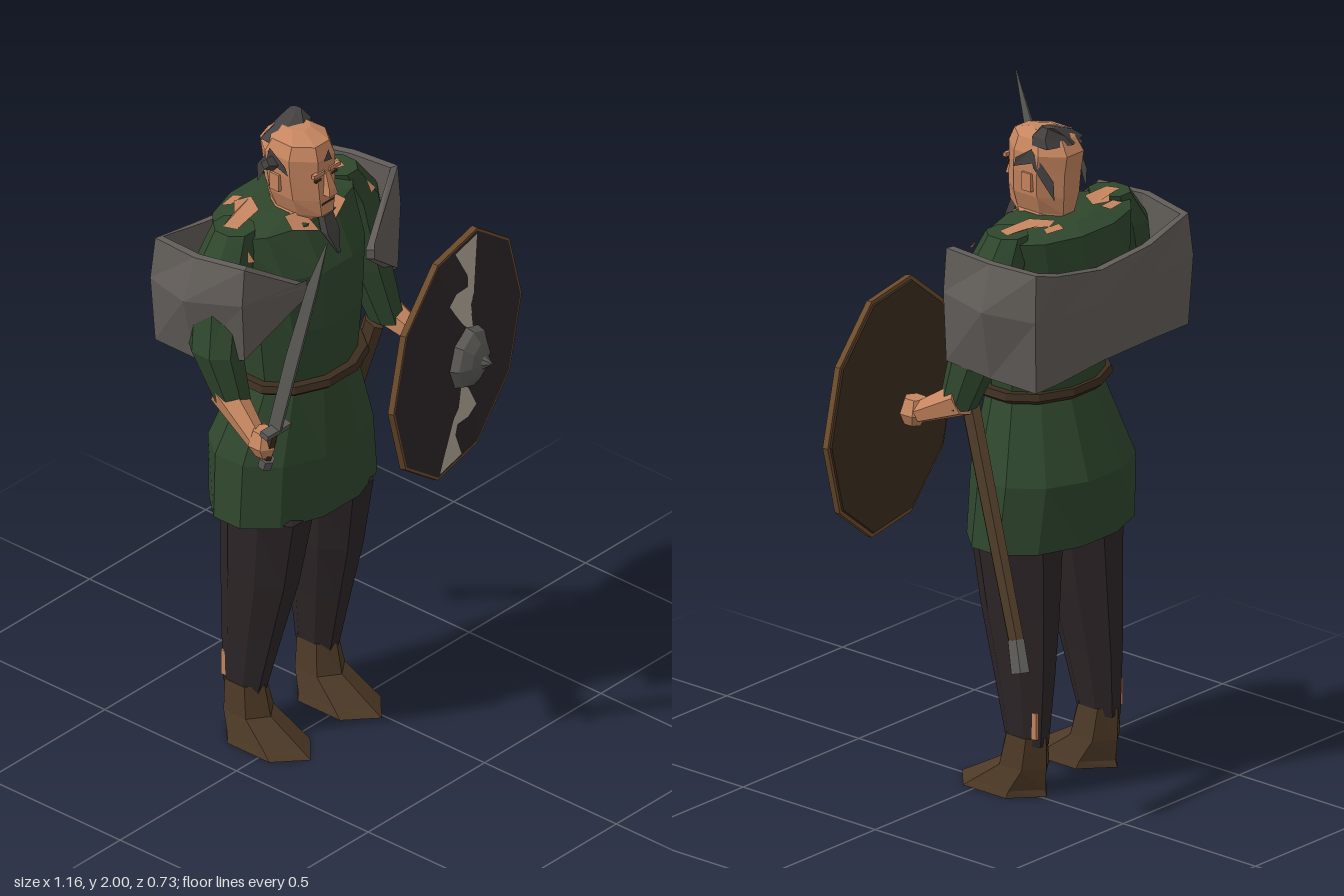
import * as THREE from 'three';

const mat = (name, color, side = THREE.FrontSide) => {
  const m = new THREE.MeshStandardMaterial({ color, flatShading: true, side });
  m.name = name;
  return m;
};
const V = (x, y, z) => new THREE.Vector3(x, y, z);

export function createModel() {
  const M = {
    skin: mat('skin', 0xc78660, THREE.DoubleSide),
    cloth: mat('green cloth', 0x2f472d),
    trousers: mat('dark trousers', 0x2d2527),
    boot: mat('boot leather', 0x4c3926),
    rim: mat('rim brown', 0x6d4c2c),
    wood: mat('dark wood', 0x3c2d1f),
    fur: mat('grey cape', 0x625d59),
    steel: mat('steel', 0x5c5b57),
    bone: mat('pale paint', 0xb3a998, THREE.DoubleSide),
    hair: mat('hair', 0x444140, THREE.DoubleSide),
  };
  const root = new THREE.Group();
  root.name = 'warrior';
  const CX = -0.165; // body midline

  const add = (name, geo, material, parent = root) => {
    const mesh = new THREE.Mesh(geo, material);
    mesh.name = name;
    parent.add(mesh);
    return mesh;
  };

  // Solid skinned over rings of points; turned outward by its signed volume
  const skinRings = (rings) => {
    const tris = [], n = rings[0].length, last = rings.length - 1;
    for (let i = 0; i < last; i++) {
      const a = rings[i], b = rings[i + 1];
      for (let j = 0; j < n; j++) {
        const k = (j + 1) % n;
        tris.push([a[j], b[j], b[k]], [a[j], b[k], a[k]]);
      }
    }
    for (let j = 1; j < n - 1; j++) {
      tris.push([rings[0][0], rings[0][j], rings[0][j + 1]]);
      tris.push([rings[last][0], rings[last][j + 1], rings[last][j]]);
    }
    let vol = 0;
    for (const [a, b, c] of tris) vol += a.dot(V(0, 0, 0).crossVectors(b, c));
    if (vol < 0) tris.forEach((t) => t.reverse());
    const g = new THREE.BufferGeometry().setFromPoints(tris.flat());
    g.computeVertexNormals();
    return g;
  };

  // Stack of level rings: [centre x, y, centre z, radius x, radius z]
  const loft = (sections, n) => skinRings(sections.map(([x, y, z, rx, rz]) =>
    Array.from({ length: n }, (_, j) => {
      const t = ((j + 0.5) / n) * Math.PI * 2, k = 1 / Math.cos(Math.PI / n);
      return V(x + rx * k * Math.cos(t), y, z + rz * k * Math.sin(t));
    })));

  // Thin fan of corner points
  const patch = (name, pts, material, parent) => {
    const p = pts.map((q) => V(...q)), out = [];
    for (let i = 1; i < p.length - 1; i++) out.push(p[0], p[i], p[i + 1]);
    const g = new THREE.BufferGeometry().setFromPoints(out);
    g.computeVertexNormals();
    return add(name, g, material, parent);
  };

  // Tapered rod between two points
  const rod = (name, a, b, r1, r2, n, material, flat = 1) => {
    const p = V(...a), q = V(...b), d = q.clone().sub(p);
    const g = new THREE.CylinderGeometry(r2, r1, d.length(), n).scale(flat, 1, 1);
    const m = add(name, g, material);
    m.position.copy(p).add(q).multiplyScalar(0.5);
    m.quaternion.setFromUnitVectors(V(0, 1, 0), d.normalize());
    return m;
  };

  // Tunic and belt
  add('tunic', loft([
    [-0.155, 0.77, -0.09, 0.285, 0.185], [-0.16, 0.97, -0.095, 0.265, 0.195],
    [CX, 1.2, -0.06, 0.185, 0.14], [CX, 1.4, -0.07, 0.205, 0.165],
    [CX, 1.58, -0.095, 0.235, 0.185], [CX, 1.71, -0.12, 0.255, 0.14],
    [CX, 1.73, -0.11, 0.1, 0.09],
  ], 12), M.cloth);
  add('belt', loft([
    [CX, 1.195, -0.055, 0.2, 0.152], [CX, 1.21, -0.055, 0.22, 0.168],
    [CX, 1.23, -0.055, 0.212, 0.162],
  ], 12), M.wood);

  // Limbs, mirrored about the midline; the left arm hangs closer to the body
  for (const s of [-1, 1]) {
    const x = (d) => CX + s * d;
    const side = s > 0 ? 'left' : 'right';
    const [elbow, elbowY] = s > 0 ? [0.295, 1.235] : [0.345, 1.265];
    add(side + 'Leg', loft([
      [x(0.155), 0.16, -0.128, 0.043, 0.066], [x(0.146), 0.36, -0.108, 0.062, 0.095],
      [x(0.137), 0.55, -0.085, 0.083, 0.12], [x(0.13), 0.775, -0.066, 0.104, 0.138],
      [x(0.115), 0.82, -0.08, 0.09, 0.1],
    ], 8), M.trousers);
    add(side + 'Boot', loft([
      [x(0.152), 0.005, -0.04, 0.088, 0.139], [x(0.152), 0.025, -0.055, 0.08, 0.12],
      [x(0.153), 0.09, -0.115, 0.06, 0.073], [x(0.155), 0.185, -0.126, 0.046, 0.064],
    ], 6), M.boot);
    add(side + 'Ankle', new THREE.BoxGeometry(0.045, 0.08, 0.03), M.skin)
      .position.set(x(0.165), 0.225, -0.175);
    add(side + 'Sleeve', loft([
      [x(0.22), 1.73, -0.11, 0.055, 0.06], [x(0.27), 1.63, -0.105, 0.08, 0.08],
      [x(elbow), 1.4, -0.07, 0.066, 0.08], [x(0.33), elbowY - 0.025, -0.02, 0.047, 0.055],
    ], 8), M.cloth);
    rod(side + 'Forearm', [x(0.335), elbowY, -0.04], [x(0.36), 1.165, 0.1], 0.052, 0.032, 6, M.skin);
    add(side + 'Hand', loft([
      [x(0.36), 1.125, 0.125, 0.02, 0.025], [x(0.36), 1.16, 0.12, 0.036, 0.04],
      [x(0.355), 1.205, 0.12, 0.026, 0.03],
    ], 6), M.skin);
    rod(side + 'Thumb', [x(0.35), 1.18, 0.09], [x(0.3), 1.175, 0.075], 0.026, 0.008, 5, M.skin);
    // Bare skin at the neckline and shoulders
    patch(side + 'ShoulderSkin', [[x(0.08), 1.74, -0.17], [x(0.13), 1.74, -0.19],
      [x(0.175), 1.738, -0.15], [x(0.245), 1.732, -0.13], [x(0.23), 1.732, -0.09], [x(0.12), 1.74, -0.105]], M.skin);
    patch(side + 'BackSkin', [[x(0.09), 1.738, -0.19], [x(0.1), 1.733, -0.22],
      [x(0.165), 1.733, -0.21], [x(0.15), 1.738, -0.185]], M.skin);
    patch(side + 'CollarSkin', [[x(0.03), 1.69, 0.047], [x(0.115), 1.718, 0.018],
      [x(0.095), 1.738, -0.03], [x(0.04), 1.74, -0.01]], M.skin);
    patch(side + 'ShoulderEdgeSkin', [[x(0.25), 1.665, -0.005], [x(0.275), 1.67, -0.01],
      [x(0.255), 1.7, -0.03]], M.skin);
  }

  // Head
  const head = new THREE.Group();
  head.name = 'head';
  root.add(head);
  add('skull', loft([
    [CX, 1.66, -0.09, 0.075, 0.07], [CX, 1.72, -0.06, 0.07, 0.08],
    [CX, 1.735, -0.05, 0.06, 0.1], [CX, 1.79, -0.055, 0.08, 0.105],
    [CX, 1.86, -0.06, 0.087, 0.105], [CX, 1.92, -0.065, 0.088, 0.11],
    [CX, 1.96, -0.06, 0.072, 0.09], [CX + 0.01, 1.98, -0.08, 0.035, 0.045],
  ], 8), M.skin, head);
  add('nose', loft([
    [CX, 1.805, 0.05, 0.018, 0.024], [CX, 1.825, 0.05, 0.014, 0.02],
    [CX, 1.875, 0.04, 0.008, 0.01],
  ], 4), M.skin, head);
  add('mouth', new THREE.BoxGeometry(0.05, 0.006, 0.008), M.wood, head).position.set(CX, 1.775, 0.048);
  add('beard', loft([
    [CX + 0.008, 1.615, 0.086, 0.003, 0.003], [CX + 0.005, 1.68, 0.055, 0.024, 0.014],
    [CX + 0.005, 1.73, 0.038, 0.02, 0.012],
  ], 4), M.hair, head);
  for (const s of [-1, 1]) {
    const x = (d) => CX + s * d;
    add('eye', new THREE.BoxGeometry(0.024, 0.008, 0.008), M.wood, head).position.set(x(0.034), 1.858, 0.043);
    add('brow', new THREE.BoxGeometry(0.045, 0.012, 0.012), M.skin, head).position.set(x(0.034), 1.878, 0.044);
    add('ear', new THREE.BoxGeometry(0.012, 0.055, 0.035), M.skin, head).position.set(x(0.088), 1.835, -0.07);
    patch('sideHairFront', [[x(0.09), 1.87, -0.02], [x(0.093), 1.9, -0.03],
      [x(0.091), 1.94, -0.09], [x(0.093), 1.9, -0.1]], M.hair, head);
    patch('sideHairBack', [[x(0.091), 1.935, -0.09], [x(0.093), 1.885, -0.095],
      [x(0.068), 1.79, -0.155], [x(0.072), 1.85, -0.155]], M.hair, head);
  }
  // Low cap of hair across the crown, peaked on the left
  add('crownHair', loft([
    [CX, 1.945, -0.108, 0.078, 0.05], [CX + 0.015, 1.972, -0.1, 0.058, 0.042],
    [CX + 0.045, 2.0, -0.11, 0.012, 0.018],
  ], 6), M.hair, head);
  add('hairTuft', new THREE.CylinderGeometry(0.016, 0.03, 0.055, 4).rotateZ(1.3), M.hair, head)
    .position.set(-0.26, 1.895, -0.08);
  patch('foreheadMark', [[-0.185, 1.918, 0.053], [-0.15, 1.912, 0.053], [-0.155, 1.942, 0.044]], M.hair, head);

  // Cape wrapped round back and shoulders: [x, z, top, bottom, outward bulge]
  const cape = [
    [-0.31, 0.1, 1.575, 1.545, 0], [-0.5, 0.03, 1.69, 1.39, 0.02],
    [-0.535, -0.13, 1.685, 1.35, 0.045], [-0.51, -0.3, 1.67, 1.33, 0.015],
    [-0.33, -0.315, 1.63, 1.34, 0], [-0.13, -0.305, 1.61, 1.33, 0.005],
    [0.09, -0.33, 1.66, 1.33, 0.005], [0.165, -0.315, 1.68, 1.32, 0.015],
    [0.2, -0.17, 1.69, 1.34, 0.045], [0.205, -0.01, 1.7, 1.355, 0.01],
    [-0.02, 0.1, 1.565, 1.535, 0],
  ];
  add('cape', skinRings(cape.map(([x, z, top, bot, bulge]) => {
    const out = V(x - CX, 0, z + 0.11).normalize();
    const at = (y, d) => V(x + out.x * d, y, z + out.z * d);
    return [at(top, 0), at((top + bot) / 2 + 0.04, bulge), at(bot, 0), at(bot, -0.025), at(top, -0.025)];
  })), M.fur);

  // Sword held upright in the right hand
  const sx = -0.525;
  add('blade', loft([
    [sx, 1.23, 0.168, 0.005, 0.022], [sx, 1.5, 0.238, 0.005, 0.023],
    [sx, 1.76, 0.311, 0.004, 0.018], [sx, 1.93, 0.365, 0.001, 0.002],
  ], 4), M.steel);
  const guard = add('crossGuard', new THREE.BoxGeometry(0.1, 0.018, 0.03), M.steel);
  guard.position.set(sx, 1.228, 0.17);
  guard.rotation.x = 0.27;
  rod('grip', [sx, 1.1, 0.133], [sx, 1.225, 0.167], 0.014, 0.014, 6, M.wood);
  rod('pommel', [sx, 1.09, 0.13], [sx, 1.12, 0.139], 0.022, 0.024, 6, M.steel);

  // Scabbard hanging from the left hip, thin from the front and wide from the side
  rod('scabbard', [0.238, 0.56, -0.31], [0.125, 1.21, -0.03], 0.03, 0.036, 6, M.boot, 0.55);
  rod('scabbardTip', [0.25, 0.495, -0.33], [0.234, 0.585, -0.299], 0.036, 0.032, 6, M.steel, 0.6);

  // Ten-sided round shield with a shallow conical face
  const shield = new THREE.Group();
  shield.name = 'shield';
  shield.position.set(0.205, 1.16, 0.21);
  shield.rotation.y = 0.22;
  root.add(shield);
  const disc = (name, r1, r2, depth, z, material) =>
    add(name, new THREE.CylinderGeometry(r1, r2, depth, 10, 1, false, Math.PI / 2).rotateX(Math.PI / 2),
      material, shield).position.set(0, 0, z);
  const rise = 0.038, base = 0.006;
  disc('shieldRim', 0.378, 0.38, 0.018, -0.003, M.rim);
  disc('shieldBack', 0.37, 0.365, 0.01, -0.012, M.wood);
  disc('shieldFace', 0.001, 0.37, rise, base + rise / 2, M.trousers);
  const mark = [[-0.02, 0.346], [0.112, 0.346], [0.085, 0.26], [0.06, 0.18], [0.036, 0.155],
    [0.036, 0.06], [-0.02, 0.12], [-0.08, 0.205], [-0.035, 0.225], [0.03, 0.215], [0.035, 0.25]];
  for (const s of [-1, 1]) {
    const shape = new THREE.Shape(mark.map(([x, y]) => new THREE.Vector2(s * x, s * y)));
    const paint = add('shieldMark', new THREE.ShapeGeometry(shape), M.bone, shield);
    paint.position.z = base + rise + 0.002;
    paint.rotation.x = -s * Math.atan(rise / 0.352);
  }
  const boss = [[0.098, 0], [0.088, 0.025], [0.055, 0.048], [0.022, 0.06], [0, 0.088]];
  add('shieldBoss', new THREE.LatheGeometry(boss.map(([r, y]) => new THREE.Vector2(r, y)), 8)
    .rotateX(Math.PI / 2), M.steel, shield).position.z = 0.034;

  return root;
}
